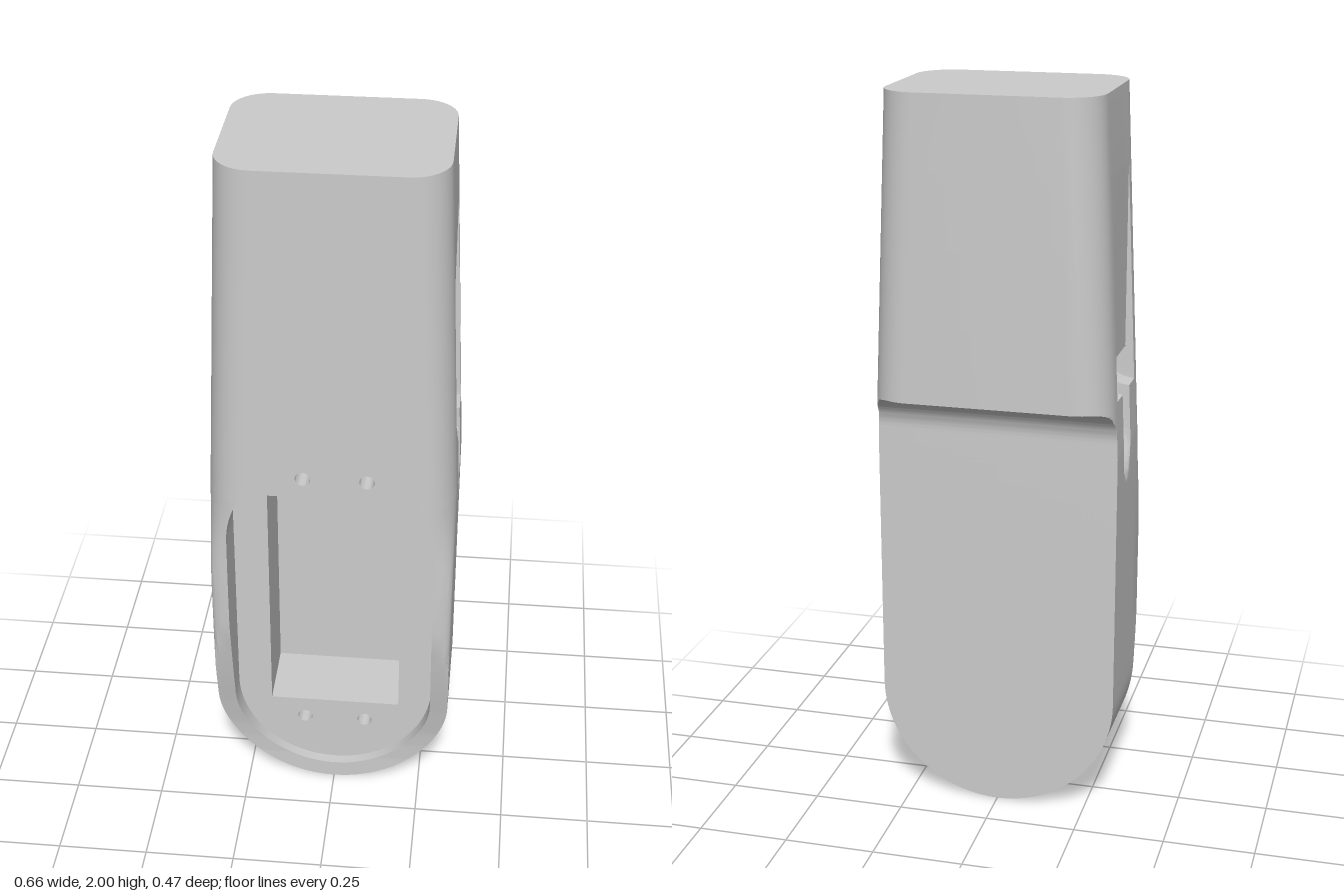
import * as THREE from 'three';
import { mergeGeometries, toCreasedNormals } from 'three/addons/utils/BufferGeometryUtils.js';

const { clamp, lerp, smoothstep } = THREE.MathUtils;
const R = 0.33, SLOT = 0.28, SLOT_TOP = 0.91, CORNER = 0.1;
const FLOOR = 0.1, POCKET = -0.1;
const root = (v) => Math.sqrt(Math.max(0, v));

// Body half width with its taper, and the same with the round bottom end
const bodyWidth = (y) => lerp(R, 0.288, clamp((y - 1.05) / 0.95, 0, 1));
const width = (y) => (y < R ? root(R * R - (R - y) ** 2) : bodyWidth(y));

// Half width of the stadium-shaped recess, 0 outside it
function slot(y) {
  const d = y < R ? R - y : Math.max(0, y - SLOT_TOP);
  return root(SLOT * SLOT - d * d);
}

// Thinning of the front toward the bottom end
const slope = [[0, 0.13], [0.08, 0.13], [0.14, 0.134], [0.2, 0.142], [0.3, 0.163], [0.4, 0.187], [0.5, 0.207], [0.57, 0.22], [0.64, 0.235], [3, 0.235]];
function frontCut(y) {
  const i = slope.findIndex((p) => p[0] > y);
  const [a, b] = [slope[i - 1], slope[i]];
  return lerp(a[1], b[1], (y - a[0]) / (b[0] - a[0]));
}

const cornerArc = (x, y) => root(1 - (Math.max(0, x - bodyWidth(y) + CORNER) / CORNER) ** 2);

function frontZ(x, y) {
  const r = lerp(0.035, CORNER, smoothstep(y, 0.75, 1.08));
  return Math.min(frontCut(y), 0.235 - r + r * cornerArc(x, y));
}

// Back: thin lower half, concave fillet, thick upper half
function backZ(x, y) {
  let cut = -0.13;
  if (y >= 1.19) cut = -0.235;
  else if (y > 1.09) cut = -0.235 + 0.105 * root(1 - ((y - 1.09) / 0.1) ** 2);
  return Math.max(cut, -0.135 - CORNER * cornerArc(x, y));
}

// Side wall with the flat latch seat, hooked notch and tapering round groove
function sideX(y, z) {
  let x = width(y);
  if (Math.abs(z) < 0.115) {
    if (y >= 1.29) x = Math.min(x, 0.297);
    else if (y > 1.2) x = Math.min(x, 0.325 - root(0.09 ** 2 - (1.29 - y) ** 2));
  }
  if (Math.abs(z) < 0.0451 && y > 0.94 && y < 1.29) {
    const axis = 0.375 - (y - 0.95) * 0.456;
    x = Math.min(x, axis - root(0.045 ** 2 - z * z));
  }
  return x;
}

// Heights of the cross-sections, denser on the arcs
function heights() {
  const ys = [0.4, 0.45, 0.5, 0.55, 0.6, 0.64, 0.7, 0.75, 0.8, 0.85, 0.91, 1.19, 1.1901, 1.2895, 1.29, 1.4, 1.6, 1.78, 1.8, 2];
  for (let i = 0; i <= 20; i++) {
    const t = (i / 20) * Math.PI / 2;
    ys.push(R - R * Math.cos(t), R - SLOT * Math.cos(t), SLOT_TOP + SLOT * Math.sin(t));
    ys.push(1.09 + 0.1 * Math.sin(t), lerp(0.94, 1.2, i / 20), lerp(1.2, 1.289, i / 20));
  }
  return ys.sort((a, b) => a - b).filter((y, i) => i === 0 || y - ys[i - 1] > 1e-6);
}

// Surface through rows of [x, y, z]; mirror -1 builds the opposite side
function loft(rows, mirror = 1) {
  const n = rows[0].length, index = [];
  const pos = rows.flat().flatMap(([x, y, z]) => [x * mirror, y, z]);
  for (let i = 0; i < rows.length - 1; i++) {
    for (let j = 0; j < n - 1; j++) {
      const a = i * n + j, b = a + 1, c = b + n, d = a + n;
      index.push(...(mirror > 0 ? [a, b, c, a, c, d] : [a, c, b, a, d, c]));
    }
  }
  const g = new THREE.BufferGeometry();
  g.setAttribute('position', new THREE.Float32BufferAttribute(pos, 3));
  g.setIndex(index);
  return g;
}

const bothSides = (rows) => toCreasedNormals(mergeGeometries([loft(rows), loft(rows, -1)]), 0.5);

// Half cross-section from the front, round the side, to the middle of the back
function section(y) {
  const w = width(y), s = slot(y), pts = [];
  const steps = [0, 1, 2, 3, 4, 5, 6, 7, 8, 9, 10].map((i) => bodyWidth(y) - CORNER + CORNER * Math.sin(i * Math.PI / 20));
  for (const x of [0, ...steps]) {
    const cx = clamp(x, Math.min(s, w), w);
    pts.push([cx, y, frontZ(cx, y)]);
  }
  const zs = [0.1155, 0.1145, 0.0455];
  for (let i = 0; i <= 14; i++) zs.push(0.045 * Math.cos(i * Math.PI / 14));
  zs.push(-0.0455, -0.1145, -0.1155);
  for (const z of zs) pts.push([sideX(y, z), y, z]);
  for (const x of [...steps.reverse(), 0]) {
    const cx = clamp(x, 0, w);
    pts.push([cx, y, backZ(cx, y)]);
  }
  return pts;
}

// Blind hole: inward walls plus a bottom
function blindHole(points, z0, z1) {
  const loop = [...points, points[0]];
  const walls = loft([z0, z1].map((z) => loop.map((p) => [p.x, p.y, z])));
  const bottom = new THREE.ShapeGeometry(new THREE.Shape(points)).translate(0, 0, z1);
  bottom.deleteAttribute('uv');
  bottom.deleteAttribute('normal');
  return toCreasedNormals(mergeGeometries([walls, bottom]), 0.6);
}

export function createModel() {
  const group = new THREE.Group();
  const material = new THREE.MeshStandardMaterial({ color: 0xcccccc });
  const add = (name, geometry) => {
    const mesh = new THREE.Mesh(geometry, material);
    mesh.name = name;
    group.add(mesh);
  };
  const ys = heights();

  // Outer shell, closed with a flat top
  const rows = ys.map(section);
  rows.push(rows.at(-1).map(([, y, z]) => [0, y, z]));
  add('shell', bothSides(rows));

  // Rim wall of the front recess
  const inside = ys.filter((y) => y > R - SLOT - 1e-6 && y < SLOT_TOP + SLOT + 1e-6);
  add('recessWall', bothSides(inside.map((y) => [[slot(y), y, FLOOR], [slot(y), y, frontZ(slot(y), y)]])));

  // Recess floor with a rectangular pocket and four screw holes
  const floor = new THREE.Shape();
  floor.absarc(0, SLOT_TOP, SLOT, 0, Math.PI);
  floor.absarc(0, R, SLOT, Math.PI, 2 * Math.PI);
  const pocket = [[-0.185, 0.265], [0.185, 0.265], [0.185, 0.98], [-0.185, 0.98]].map((p) => new THREE.Vector2(...p));
  floor.holes.push(new THREE.Path(pocket));
  add('pocket', blindHole(pocket, FLOOR, POCKET));
  for (const x of [-0.0875, 0.0875]) {
    for (const y of [0.2, 1.04]) {
      const circle = new THREE.Path().absarc(x, y, 0.021, 0, 2 * Math.PI).getPoints(12).slice(0, -1);
      floor.holes.push(new THREE.Path(circle));
      add('screwHole', blindHole(circle, FLOOR, FLOOR - 0.08));
    }
  }
  add('recessFloor', new THREE.ShapeGeometry(floor, 40).translate(0, 0, FLOOR));
  return group;
}
